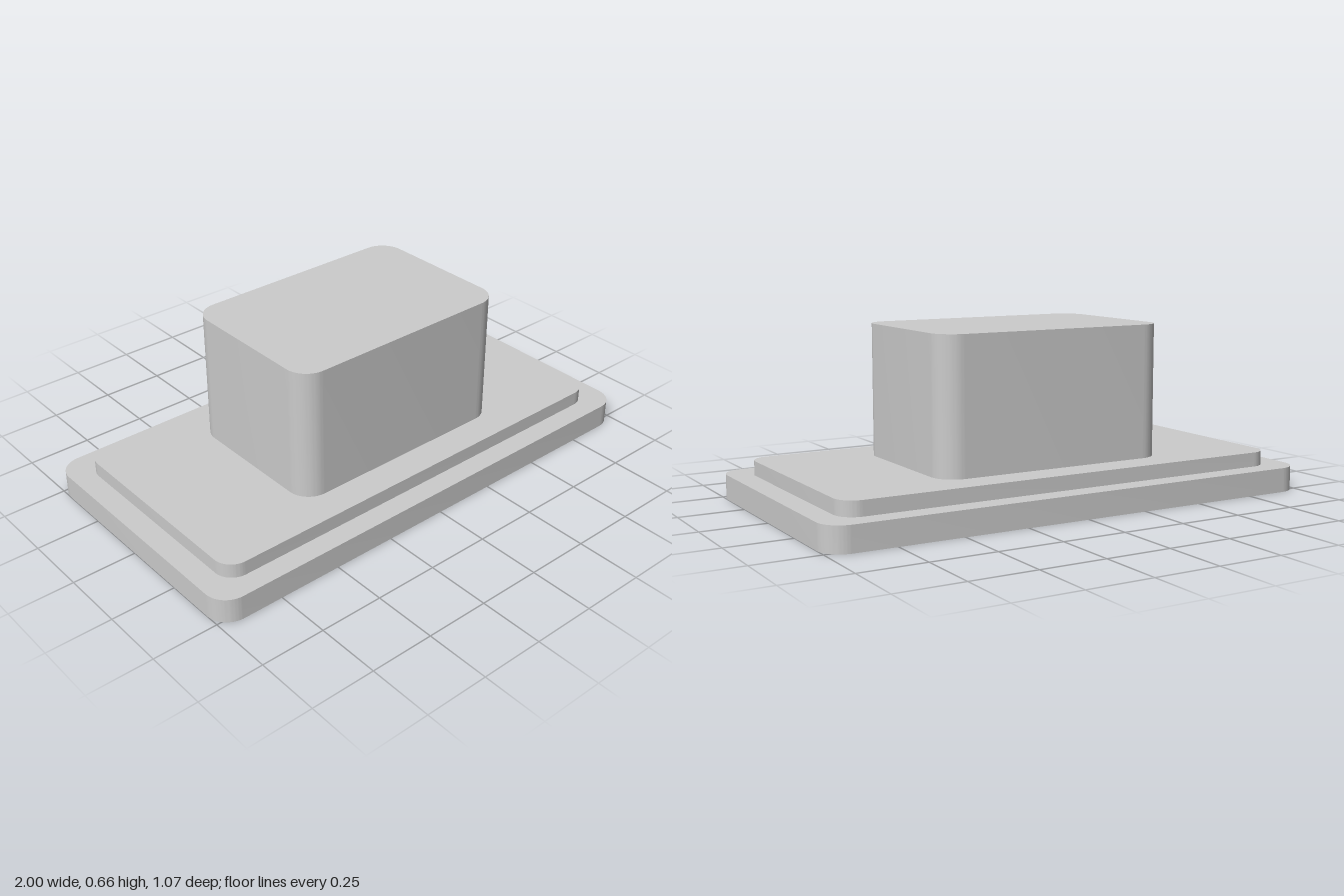
import * as THREE from 'three';
import { toCreasedNormals } from 'three/addons/utils/BufferGeometryUtils.js';

const material = new THREE.MeshStandardMaterial({ color: 0xcccccc });

// Upright slab with rounded vertical corners, from y0 to y1
function roundedSlab(name, halfX, halfZ, radius, y0, y1) {
  const s = new THREE.Shape();
  const ix = halfX - radius, iz = halfZ - radius;
  s.absarc(ix, iz, radius, 0, Math.PI / 2);
  s.absarc(-ix, iz, radius, Math.PI / 2, Math.PI);
  s.absarc(-ix, -iz, radius, Math.PI, Math.PI * 1.5);
  s.absarc(ix, -iz, radius, Math.PI * 1.5, Math.PI * 2);
  s.closePath();
  let geometry = new THREE.ExtrudeGeometry(s, { depth: y1 - y0, bevelEnabled: false, curveSegments: 12 });
  geometry.rotateX(-Math.PI / 2);
  geometry.translate(0, y0, 0);
  geometry = toCreasedNormals(geometry, Math.PI / 6);
  const mesh = new THREE.Mesh(geometry, material);
  mesh.name = name;
  return mesh;
}

export function createModel() {
  const group = new THREE.Group();
  group.name = 'steppedPedestal';
  group.add(
    // Wide bottom plate
    roundedSlab('basePlate', 1, 0.533, 0.09, 0, 0.095),
    // Thin raised step
    roundedSlab('raisedStep', 0.911, 0.449, 0.075, 0.095, 0.151),
    // Tall central block
    roundedSlab('centralBlock', 0.476, 0.323, 0.09, 0.151, 0.664),
  );
  return group;
}
